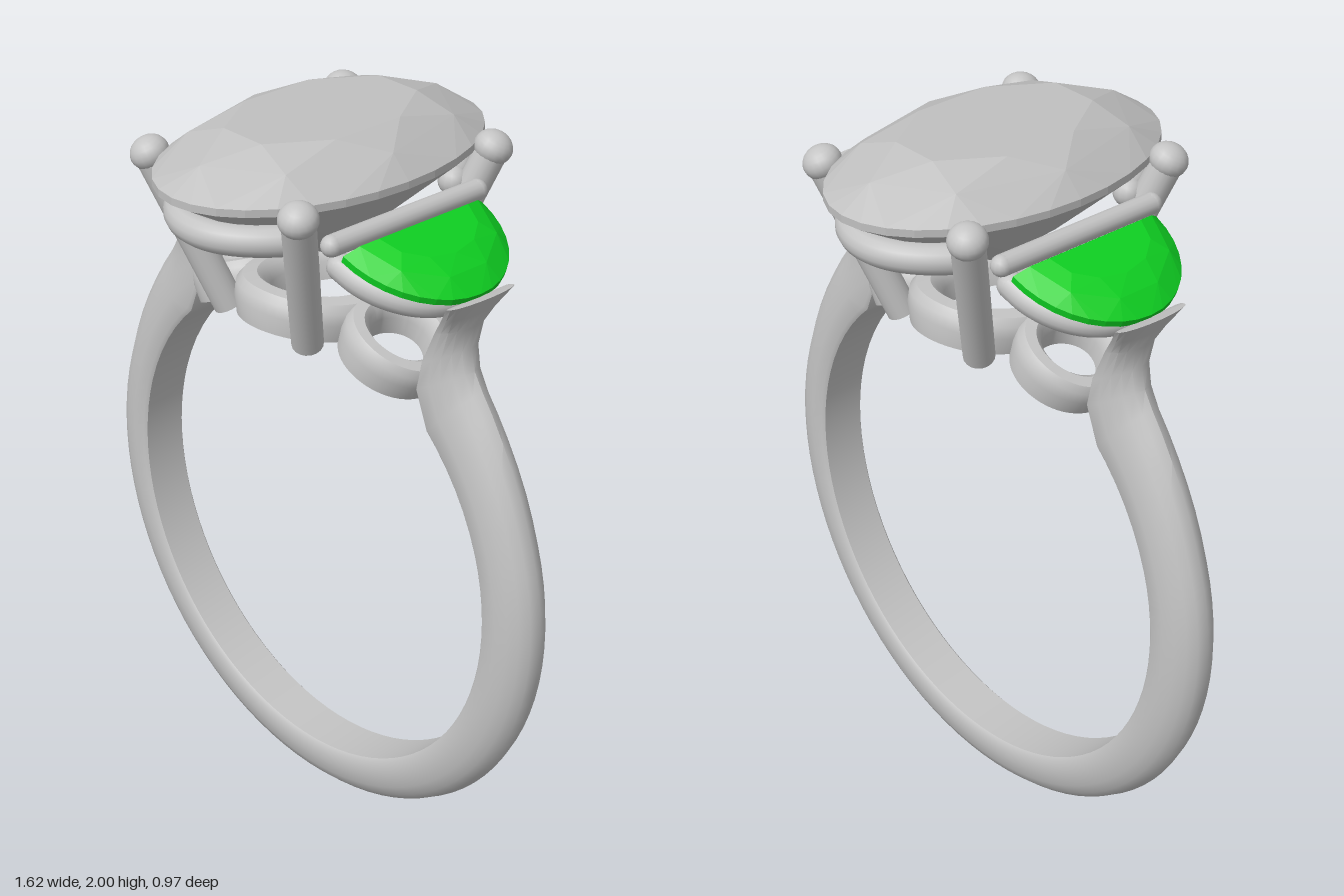
import * as THREE from 'three';
import { toCreasedNormals } from 'three/addons/utils/BufferGeometryUtils.js';
import { ConvexGeometry } from 'three/addons/geometries/ConvexGeometry.js';

const V = (x, y, z) => new THREE.Vector3(x, y, z);
const CY = 0.81;   // centre height of the finger hole
const RI = 0.667;  // radius of the finger hole

const metal = new THREE.MeshStandardMaterial({ color: 0xc4c4c4 });
metal.name = 'silver metal';
const clear = new THREE.MeshStandardMaterial({ color: 0xc0c0c0 });
clear.name = 'clear stone';
const green = new THREE.MeshStandardMaterial({ color: 0x0fd022 });
green.name = 'green stone';

// Skin a list of equal-sized cross-sections; either closed in a ring or capped
function loft(sections, closed, crease = 0.7) {
  const n = sections[0].length, m = sections.length, pos = [];
  const tri = (a, b, c) => [a, b, c].forEach(p => pos.push(p.x, p.y, p.z));
  for (let i = 0; i < (closed ? m : m - 1); i++) {
    const A = sections[i], B = sections[(i + 1) % m];
    for (let j = 0; j < n; j++) {
      const k = (j + 1) % n;
      tri(A[j], B[j], B[k]);
      tri(A[j], B[k], A[k]);
    }
  }
  if (!closed) {
    for (let j = 1; j < n - 1; j++) {
      tri(sections[0][0], sections[0][j], sections[0][j + 1]);
      tri(sections[m - 1][0], sections[m - 1][j + 1], sections[m - 1][j]);
    }
  }
  // Turn all faces outward if the enclosed volume comes out negative
  let vol = 0;
  for (let i = 0; i < pos.length; i += 9) {
    const [a, b, c] = [0, 3, 6].map(o => V(pos[i + o], pos[i + o + 1], pos[i + o + 2]));
    vol += a.dot(b.cross(c));
  }
  if (vol < 0) {
    for (let i = 0; i < pos.length; i += 9) {
      for (let d = 0; d < 3; d++) [pos[i + 3 + d], pos[i + 6 + d]] = [pos[i + 6 + d], pos[i + 3 + d]];
    }
  }
  const g = new THREE.BufferGeometry();
  g.setAttribute('position', new THREE.Float32BufferAttribute(pos, 3));
  return toCreasedNormals(g, crease);
}

export function createModel() {
  const model = new THREE.Group();
  model.name = 'threeStoneRing';
  const add = (name, geo, mat, parent = model) => {
    const mesh = new THREE.Mesh(geo, mat);
    mesh.name = name;
    parent.add(mesh);
    return mesh;
  };

  // Round wire along a path, with rounded ends
  function wire(name, points, r) {
    const group = new THREE.Group();
    group.name = name;
    model.add(group);
    const curve = new THREE.CatmullRomCurve3(points);
    add('wire', new THREE.TubeGeometry(curve, 40, r, 14), metal, group);
    for (const p of [points[0], points[points.length - 1]]) {
      add('wireEnd', new THREE.SphereGeometry(r, 14, 10), metal, group).position.copy(p);
    }
  }

  // Shank: inner point, outer point and half width from the bottom to the shoulder tip
  const stations = [];
  const polar = (deg, ro, w) => {
    const s = Math.sin(deg * Math.PI / 180), c = Math.cos(deg * Math.PI / 180);
    stations.push([RI * s, CY + RI * c, ro * s, CY + ro * c, w]);
  };
  for (let d = 180; d >= 72; d -= 4) polar(d, 0.81, 0.07);
  [[67, 0.813], [62, 0.818], [57, 0.824], [52, 0.832], [47, 0.843], [43, 0.853]]
    .forEach(([d, r]) => polar(d, r, 0.07));
  stations.push(
    [0.415, 1.40, 0.553, 1.48, 0.07],
    [0.43, 1.48, 0.54, 1.54, 0.067],
    [0.475, 1.58, 0.548, 1.60, 0.068],
    [0.515, 1.635, 0.57, 1.645, 0.085],
    [0.552, 1.682, 0.603, 1.70, 0.108]);
  const dProfile = [[0, -0.9], [0, 0], [0, 0.9], [0.06, 1], [0.35, 1], [0.6, 0.9], [0.8, 0.68], [0.94, 0.38],
    [1, 0], [0.94, -0.38], [0.8, -0.68], [0.6, -0.9], [0.35, -1], [0.06, -1]];
  const section = ([xi, yi, xo, yo, w], side) =>
    dProfile.map(([d, z]) => V(side * (xi + (xo - xi) * d), yi + (yo - yi) * d, z * w));
  add('shank', loft([
    ...stations.slice(1).reverse().map(s => section(s, -1)),
    ...stations.map(s => section(s, 1))], false), metal);

  // Pierced base: flat rings bent over the finger hole
  function bentRing(name, cx, a, b, half) {
    const profile = [[-1, 0], [1, 0], [1, 0.05], [0.8, 0.08], [0.4, 0.096], [-0.4, 0.096], [-0.8, 0.08], [-1, 0.05]];
    const rings = [];
    for (let i = 0; i < 56; i++) {
      const t = i / 56 * Math.PI * 2, c = Math.cos(t), s = Math.sin(t);
      const n = new THREE.Vector2(c / a, s / b).normalize();
      rings.push(profile.map(([o, h]) => {
        const ang = (cx + a * c + n.x * o * half) / 0.71, r = RI + h;
        return V(r * Math.sin(ang), CY + r * Math.cos(ang), b * s + n.y * o * half);
      }));
    }
    add(name, loft(rings, true), metal);
  }
  bentRing('centreBaseRing', 0, 0.165, 0.19, 0.045);

  // Centre stone: oval brilliant with table, crown, girdle and pavilion
  const oval = [V(0, 1.61, 0)];
  const ovalRing = (n, scale, y, shift) => {
    for (let i = 0; i < n; i++) {
      const t = (i + shift) / n * Math.PI * 2;
      oval.push(V(0.312 * scale * Math.cos(t), y, 0.485 * scale * Math.sin(t)));
    }
  };
  ovalRing(8, 0.58, 2.0, 0.5);
  ovalRing(8, 0.82, 1.962, 0);
  ovalRing(32, 1, 1.905, 0);
  ovalRing(32, 1, 1.885, 0);
  ovalRing(8, 0.45, 1.722, 0.5);
  add('centreStone', new ConvexGeometry(oval), clear);

  // Wire arcs under the front and back of the centre stone
  for (const f of [1, -1]) {
    const pts = [];
    for (let i = 0; i <= 12; i++) {
      const t = (i / 12 - 0.5) * 1.75;
      pts.push(V(0.265 * Math.sin(t), 1.797, f * 0.41 * Math.cos(t)));
    }
    wire('centreGallery', pts, 0.04);
  }

  // Four claws holding the centre stone
  for (const sx of [1, -1]) for (const sz of [1, -1]) {
    const foot = V(sx * 0.15, 1.47, sz * 0.185), tip = V(sx * 0.277, 1.892, sz * 0.328);
    const dir = tip.clone().sub(foot);
    const claw = new THREE.Group();
    claw.name = 'claw';
    claw.position.copy(foot);
    claw.quaternion.setFromUnitVectors(V(0, 1, 0), dir.clone().normalize());
    model.add(claw);
    const L = dir.length();
    add('clawStem', new THREE.CylinderGeometry(0.043, 0.041, L, 18), metal, claw).position.y = L / 2;
    const cap = add('clawTip', new THREE.SphereGeometry(0.051, 18, 12), metal, claw);
    cap.position.y = L;
    cap.scale.y = 0.85;
  }

  // Both sides: half-moon stone, its cradle, bar and base ring
  for (const s of [1, -1]) {
    // Tilted frame: u runs outward, v runs up through the stone
    const at = (u, v, z) => V(s * (0.33 + 0.93 * u + 0.37 * v), 1.78 - 0.37 * u + 0.93 * v, z);
    const pts = [at(0.018, -0.134, 0), at(0.018, -0.125, 0.05), at(0.018, -0.125, -0.05)];
    const moon = (n, u0, a, b, v) => {
      for (let i = 0; i <= n; i++) {
        const t = (i / n - 0.5) * Math.PI;
        pts.push(at(u0 + a * Math.cos(t), v, b * Math.sin(t)));
      }
    };
    moon(6, 0.02, 0.12, 0.15, 0.05);
    moon(5, 0.01, 0.19, 0.2, 0.036);
    moon(18, 0, 0.25, 0.235, 0.008);
    moon(18, 0, 0.25, 0.235, -0.01);
    moon(6, 0.01, 0.13, 0.14, -0.075);
    add('sideStone', new ConvexGeometry(pts), green);

    const arc = [];
    for (let i = 0; i <= 12; i++) {
      const t = (i / 12 - 0.5) * Math.PI;
      arc.push(at(-0.02 + 0.215 * Math.cos(t), -0.055, 0.205 * Math.sin(t)));
    }
    wire('sideCradle', arc, 0.035);
    wire('sideBar', [V(s * 0.303, 1.808, -0.245), V(s * 0.303, 1.808, 0), V(s * 0.303, 1.808, 0.245)], 0.028);
    bentRing('sideBaseRing', s * 0.295, 0.115, 0.115, 0.035);
  }
  return model;
}
